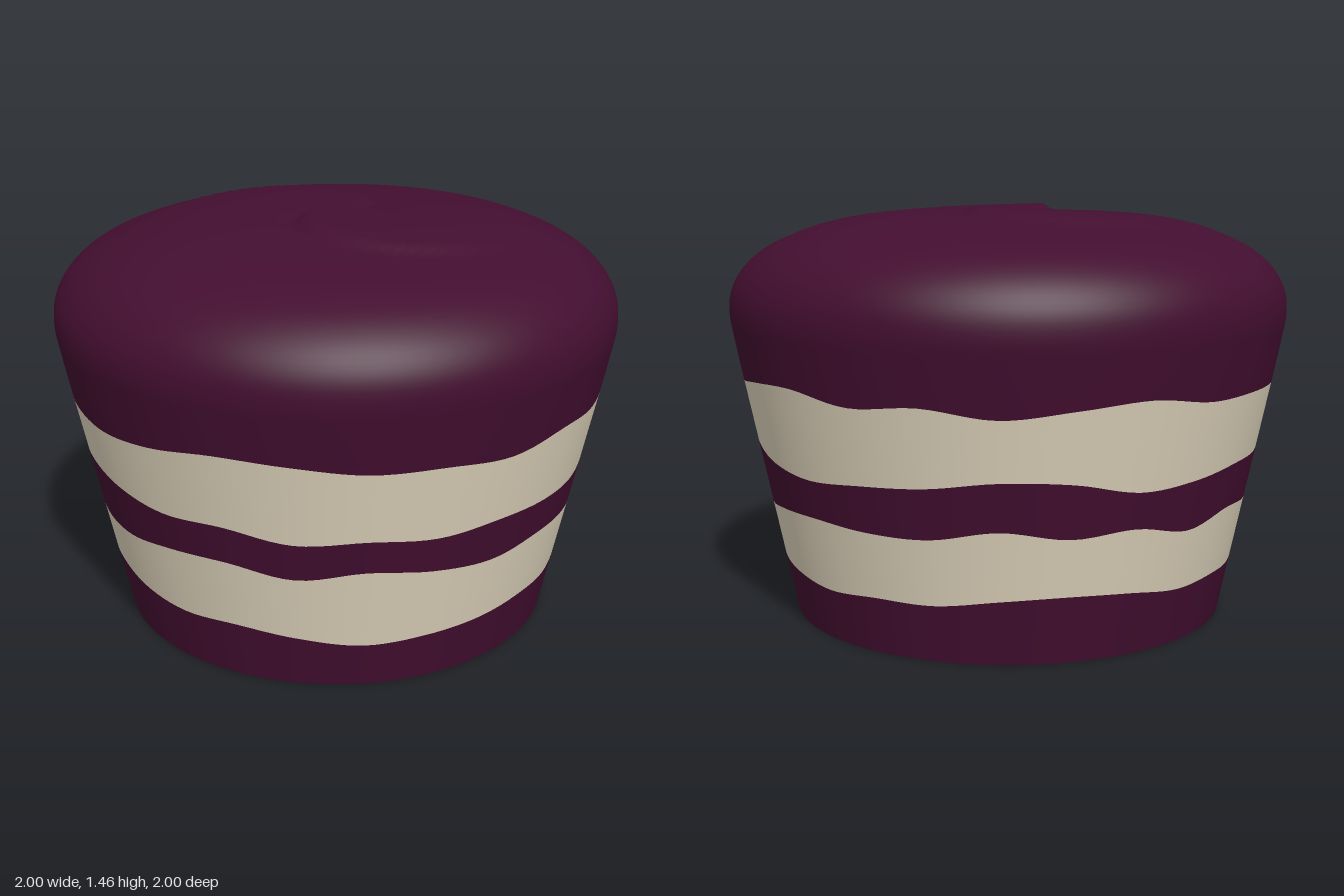
import * as THREE from 'three';

const SEG = 144;
const TAU = Math.PI * 2;

// Heights of the four wavy icing edges, every 15 degrees from the front round to +x
const EDGES = [
  [.215, .193, .167, .178, .19, .205, .2, .225, .235, .215, .2, .185,
    .2, .2, .225, .235, .225, .2, .205, .2, .215, .243, .22, .205],
  [.47, .437, .468, .445, .43, .45, .44, .415, .43, .41, .43, .44,
    .43, .43, .465, .435, .45, .41, .445, .43, .425, .425, .43, .46],
  [.61, .575, .59, .575, .59, .587, .585, .607, .617, .63, .595, .575,
    .59, .603, .63, .62, .575, .585, .605, .605, .615, .64, .62, .6],
  [.88, .87, .845, .845, .83, .86, .85, .865, .845, .85, .875, .885,
    .85, .867, .835, .86, .88, .85, .85, .845, .825, .835, .83, .85],
];

// Smooth closed interpolation through an edge list
function edgeHeight(list, a) {
  const n = list.length;
  const t = (a / TAU) * n;
  const i = Math.floor(t);
  const f = t - i;
  const [p, q, r, s] = [-1, 0, 1, 2].map(k => list[(i + k + n) % n]);
  return q + 0.5 * f * (r - p + f * (2 * p - 5 * q + 4 * r - s + f * (3 * (q - r) + s - p)));
}

const wallRadius = y => 0.78 + 0.206 * y;

// Closed rings stacked upward; point(row, angle) gives [radius, height]
function ringSurface(rows, point) {
  const pos = [];
  const index = [];
  for (let i = 0; i <= rows; i++) {
    for (let j = 0; j < SEG; j++) {
      const a = (j / SEG) * TAU;
      const [r, y] = point(i, a);
      pos.push(r * Math.sin(a), y, r * Math.cos(a));
      if (i === rows) continue;
      const p = i * SEG + j;
      const q = i * SEG + (j + 1) % SEG;
      index.push(p, q, q + SEG, p, q + SEG, p + SEG);
    }
  }
  const g = new THREE.BufferGeometry();
  g.setAttribute('position', new THREE.Float32BufferAttribute(pos, 3));
  g.setIndex(index);
  g.computeVertexNormals();
  return g;
}

// Two-armed spiral step pressed into the top
function swirl(r, a) {
  const p = (a - (r - 0.3) * 3.84) / Math.PI;
  const f = p - Math.floor(p);
  const saw = f < 0.08 ? f / 0.08 : (1 - f) / 0.92;
  const fade = THREE.MathUtils.smoothstep(r, 0.02, 0.2) * (1 - THREE.MathUtils.smoothstep(r, 0.5, 0.85));
  return (saw - 0.5) * 0.025 * fade;
}

export function createModel() {
  const cake = new THREE.MeshStandardMaterial({ color: 0x430e30 });
  cake.name = 'dark plum sponge';
  const cream = new THREE.MeshStandardMaterial({ color: 0xe0d5bd });
  cream.name = 'cream filling';

  const group = new THREE.Group();
  group.name = 'layerCake';
  const add = (name, geometry, material) => {
    const mesh = new THREE.Mesh(geometry, material);
    mesh.name = name;
    group.add(mesh);
    return mesh;
  };

  // Tapered wall: sponge and cream layers between the wavy edges
  const names = ['lowerSponge', 'lowerCream', 'middleSponge', 'upperCream'];
  names.forEach((name, k) => {
    const strip = ringSurface(3, (i, a) => {
      const low = k ? edgeHeight(EDGES[k - 1], a) : 0;
      const y = low + (edgeHeight(EDGES[k], a) - low) * i / 3;
      return [wallRadius(y), y];
    });
    add(name, strip, k % 2 ? cream : cake);
  });

  // Top sponge: upper wall, then a rounded dome with the swirl
  const dome = new THREE.CatmullRomCurve3([
    [.985, 1.0], [.998, 1.08], [.99, 1.16], [.95, 1.235], [.87, 1.305], [.75, 1.36], [.6, 1.4],
    [.4, 1.43], [.2, 1.444], [0, 1.45],
  ].map(([r, y]) => new THREE.Vector3(r, y, 0)), false, 'centripetal');
  const domeRows = 56;
  const profile = dome.getSpacedPoints(domeRows);
  add('topSponge', ringSurface(domeRows + 2, (i, a) => {
    if (i < 2) {
      const low = edgeHeight(EDGES[3], a);
      const y = low + (profile[0].y - low) * i / 2;
      return [wallRadius(y), y];
    }
    const { x, y } = profile[i - 2];
    const r = Math.max(x, 0);
    return [r, y + swirl(r, a)];
  }), cake);

  // Flat underside
  add('base', new THREE.CircleGeometry(0.78, SEG), cake).rotation.x = Math.PI / 2;

  return group;
}
